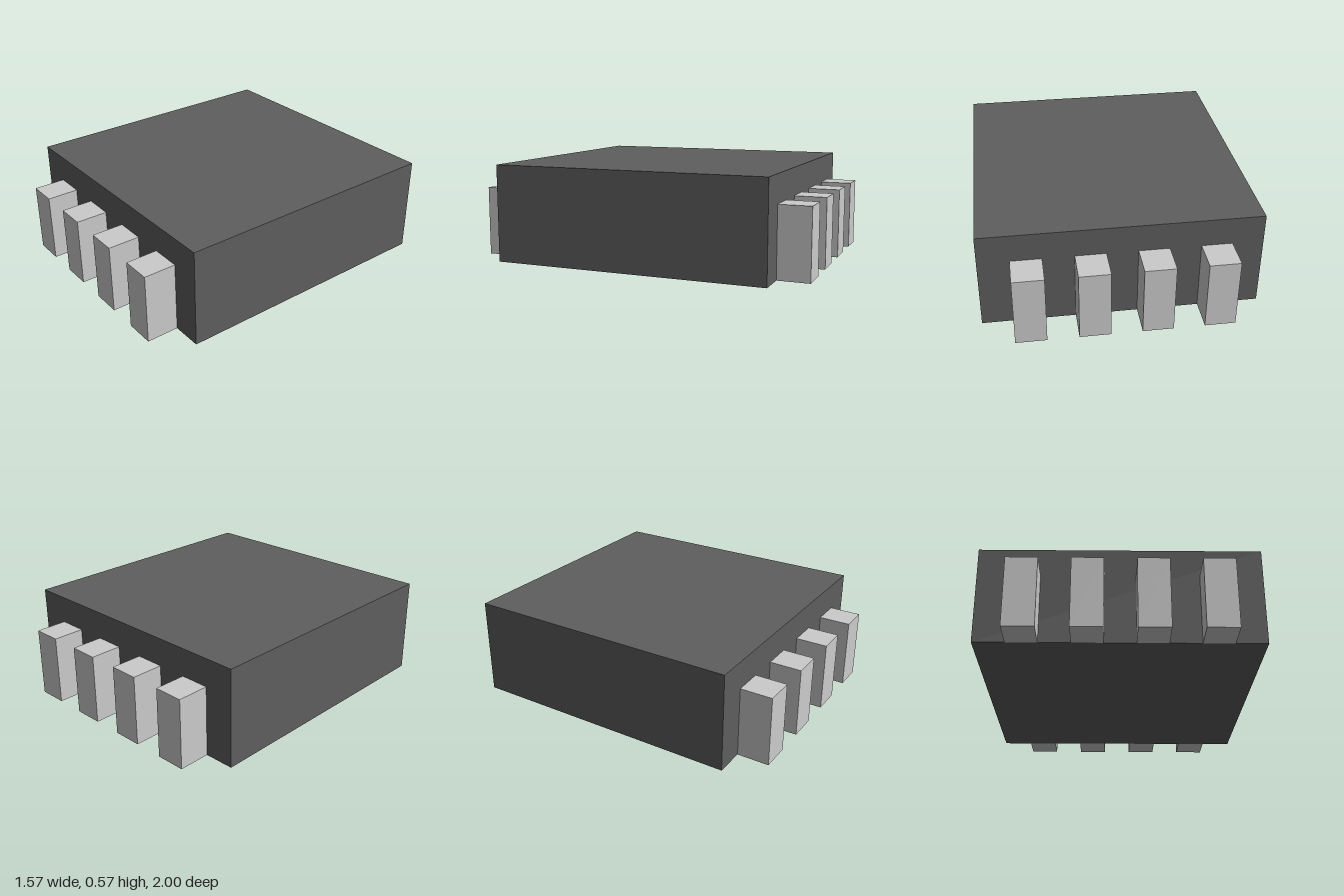
import * as THREE from 'three';

export function createModel() {
  const group = new THREE.Group();
  const bodyMaterial = new THREE.MeshStandardMaterial({ color: 0x5e5e5e });
  const pinMaterial = new THREE.MeshStandardMaterial({ color: 0xcccccc });

  const bodyHeight = 0.572, bodyDepth = 1.628;
  const pinWidth = 0.174, pinHeight = 0.41, pinSpacing = 0.349;
  const pinDepth = 1 - bodyDepth / 2;

  // Box standing on the ground plane
  const addBlock = (name, w, h, d, x, z, material) => {
    const mesh = new THREE.Mesh(new THREE.BoxGeometry(w, h, d), material);
    mesh.name = name;
    mesh.position.set(x, h / 2, z);
    group.add(mesh);
  };

  // Package body
  addBlock('body', 1.572, bodyHeight, bodyDepth, 0, 0, bodyMaterial);

  // Four contact pins on the front and four on the back
  for (const side of [1, -1]) {
    for (let i = 0; i < 4; i++) {
      addBlock(`${side > 0 ? 'front' : 'back'}Pin${i + 1}`, pinWidth, pinHeight, pinDepth,
        (i - 1.5) * pinSpacing, side * (1 - pinDepth / 2), pinMaterial);
    }
  }
  return group;
}
